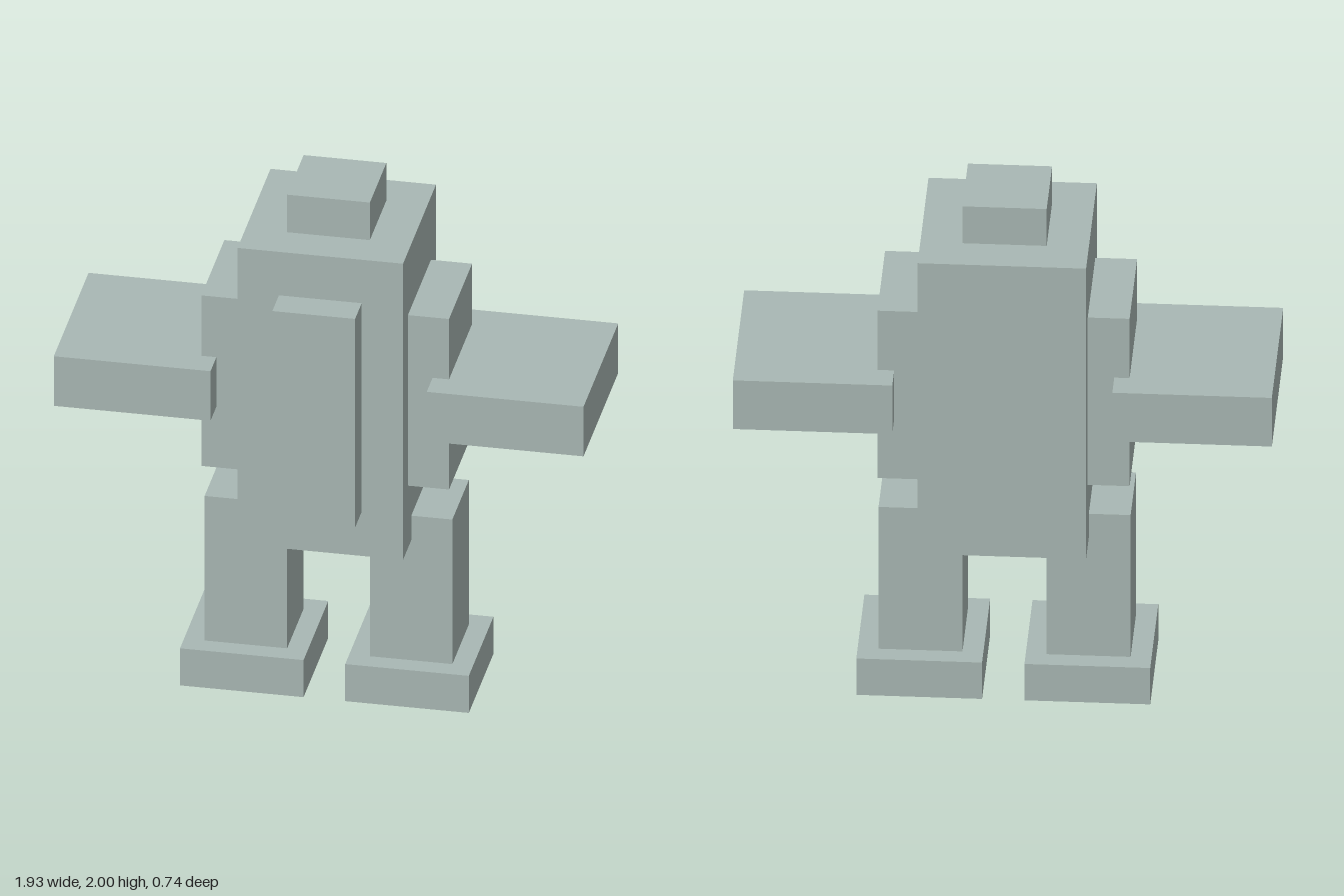
import * as THREE from 'three';

export function createModel() {
  const model = new THREE.Group();
  model.name = 'blockRobot';
  const greyGreen = new THREE.MeshStandardMaterial({ color: 0xa9b8b4 });
  greyGreen.name = 'greyGreen';

  // Box from its low and high corner on each axis
  function block(name, [x0, x1], [y0, y1], [z0, z1]) {
    const mesh = new THREE.Mesh(new THREE.BoxGeometry(x1 - x0, y1 - y0, z1 - z0), greyGreen);
    mesh.position.set((x0 + x1) / 2, (y0 + y1) / 2, (z0 + z1) / 2);
    mesh.name = name;
    model.add(mesh);
  }

  // Body
  block('torso', [-0.302, 0.302], [0.64, 1.847], [-0.353, 0.25]);
  block('head', [-0.151, 0.151], [1.847, 2], [-0.202, 0.1]);
  block('chestPlate', [-0.151, 0.151], [0.82, 1.67], [0.25, 0.37]);

  // Limbs on both sides
  for (const [side, s] of [['left', 1], ['right', -1]]) {
    const span = (a, b) => (s > 0 ? [a, b] : [-b, -a]);
    block(side + 'Shoulder', span(0.302, 0.452), [0.895, 1.59], [-0.261, 0.161]);
    // The right arm sits slightly further out
    block(side + 'Arm', s > 0 ? [0.392, 0.964] : [-0.969, -0.397], [1.142, 1.344], [-0.368, 0.268]);
    block(side + 'Leg', span(0.151, 0.452), [0.151, 0.74], [-0.202, 0.1]);
    block(side + 'Foot', span(0.076, 0.527), [0, 0.151], [-0.276, 0.175]);
  }
  return model;
}
